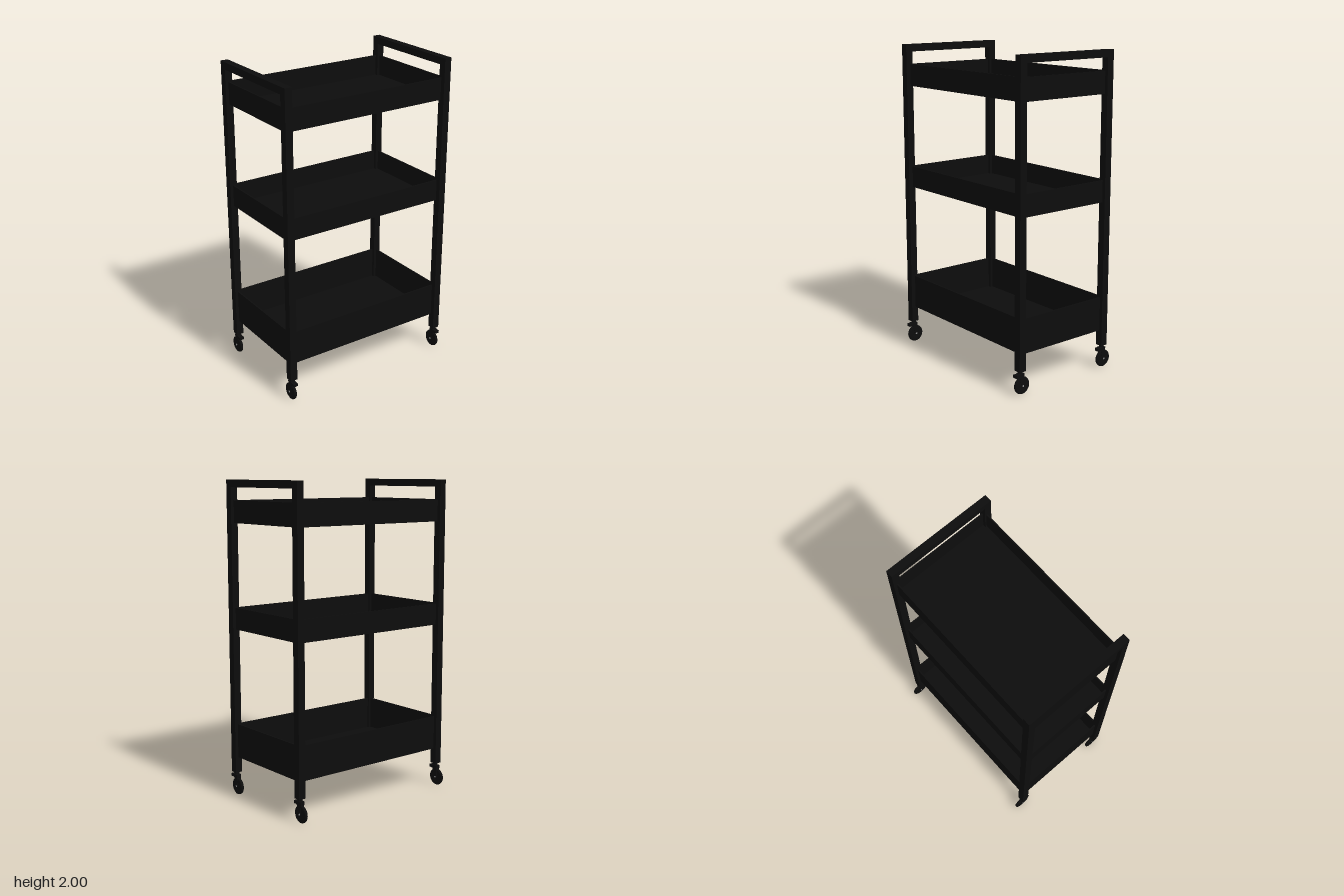
import * as THREE from 'three';

const black = new THREE.MeshStandardMaterial({ color: 0x0d0d0d });
const steel = new THREE.MeshStandardMaterial({ color: 0x8c8c8c });

const POST_X = 0.562, POST_W = 0.047;
const FRONT_Z = 0.348, BACK_Z = -0.323;

function add(parent, name, geometry, x, y, z, material = black) {
  const mesh = new THREE.Mesh(geometry, material);
  mesh.name = name;
  mesh.position.set(x, y, z);
  parent.add(mesh);
  return mesh;
}

// Box given by its lower and upper corners
function box(parent, name, [x0, y0, z0], [x1, y1, z1]) {
  return add(parent, name, new THREE.BoxGeometry(x1 - x0, y1 - y0, z1 - z0),
    (x0 + x1) / 2, (y0 + y1) / 2, (z0 + z1) / 2);
}

// Open sheet-metal tray: floor and four walls
function tray(name, y0, y1) {
  const g = new THREE.Group();
  g.name = name;
  const x = 0.565, zb = -0.326, zf = 0.343, t = 0.008;
  box(g, 'trayFloor', [-x, y0, zb], [x, y0 + t, zf]);
  box(g, 'frontWall', [-x, y0, zf - t], [x, y1, zf]);
  box(g, 'backWall', [-x, y0, zb], [x, y1, zb + t]);
  for (const s of [-1, 1]) {
    const c = s * (x - t / 2);
    box(g, 'sideWall', [c - t / 2, y0, zb + t], [c + t / 2, y1, zf - t]);
  }
  return g;
}

// Swivel caster, wheel trailing slightly behind its stem
function caster() {
  const g = new THREE.Group();
  g.name = 'caster';
  const wheelZ = -0.012, wheelY = 0.056;
  add(g, 'stem', new THREE.CylinderGeometry(0.009, 0.009, 0.03, 16), 0, 0.142, 0, steel);
  add(g, 'swivelCollar', new THREE.CylinderGeometry(0.015, 0.015, 0.012, 20), 0, 0.142, 0);
  box(g, 'forkCrown', [-0.015, 0.112, -0.022], [0.015, 0.134, 0.02]);
  box(g, 'brakePedal', [-0.015, 0.114, 0.015], [0.015, 0.132, 0.041]);

  // Fork cheeks from the crown down to the axle
  const cheek = new THREE.Shape();
  cheek.moveTo(-0.02, 0.125);
  cheek.lineTo(0.016, 0.125);
  cheek.lineTo(wheelZ + 0.011, wheelY);
  cheek.absarc(wheelZ, wheelY, 0.011, 0, -Math.PI, true);
  const cheekGeo = new THREE.ExtrudeGeometry(cheek, { depth: 0.003, bevelEnabled: false, curveSegments: 10 });
  cheekGeo.rotateY(-Math.PI / 2); // profile x becomes z
  for (const x of [0.014, -0.011]) add(g, 'forkCheek', cheekGeo, x, 0, 0);

  // Tyre with rounded tread
  const profile = [[0.006, -0.007], [0.024, -0.007], [0.027, -0.01], [0.048, -0.01], [0.053, -0.007],
    [0.055, 0], [0.053, 0.007], [0.048, 0.01], [0.027, 0.01], [0.024, 0.007], [0.006, 0.007]]
    .map(([r, y]) => new THREE.Vector2(r, y));
  const wheel = add(g, 'wheel', new THREE.LatheGeometry(profile, 32), 0, wheelY, wheelZ);
  wheel.rotation.z = Math.PI / 2;
  const axle = add(g, 'axle', new THREE.CylinderGeometry(0.006, 0.006, 0.033, 14), 0, wheelY, wheelZ, steel);
  axle.rotation.z = Math.PI / 2;
  return g;
}

export function createModel() {
  const model = new THREE.Group();
  model.name = 'rollingCart';
  const h = POST_W / 2;

  // Two side frames: posts, push handle and casters
  for (const s of [-1, 1]) {
    const frame = new THREE.Group();
    frame.name = s > 0 ? 'leftFrame' : 'rightFrame';
    const x = s * POST_X;
    for (const z of [FRONT_Z, BACK_Z]) {
      box(frame, 'post', [x - h, 0.15, z - h], [x + h, 2, z + h]);
      const c = caster();
      c.position.set(x, 0, z);
      frame.add(c);
    }
    box(frame, 'handle', [x - h, 1.955, BACK_Z + h], [x + h, 2, FRONT_Z - h]);
    model.add(frame);
  }

  // Three shelves, the lowest one deeper
  model.add(tray('topTray', 1.738, 1.876));
  model.add(tray('middleTray', 1.077, 1.214));
  model.add(tray('bottomTray', 0.25, 0.468));
  return model;
}
